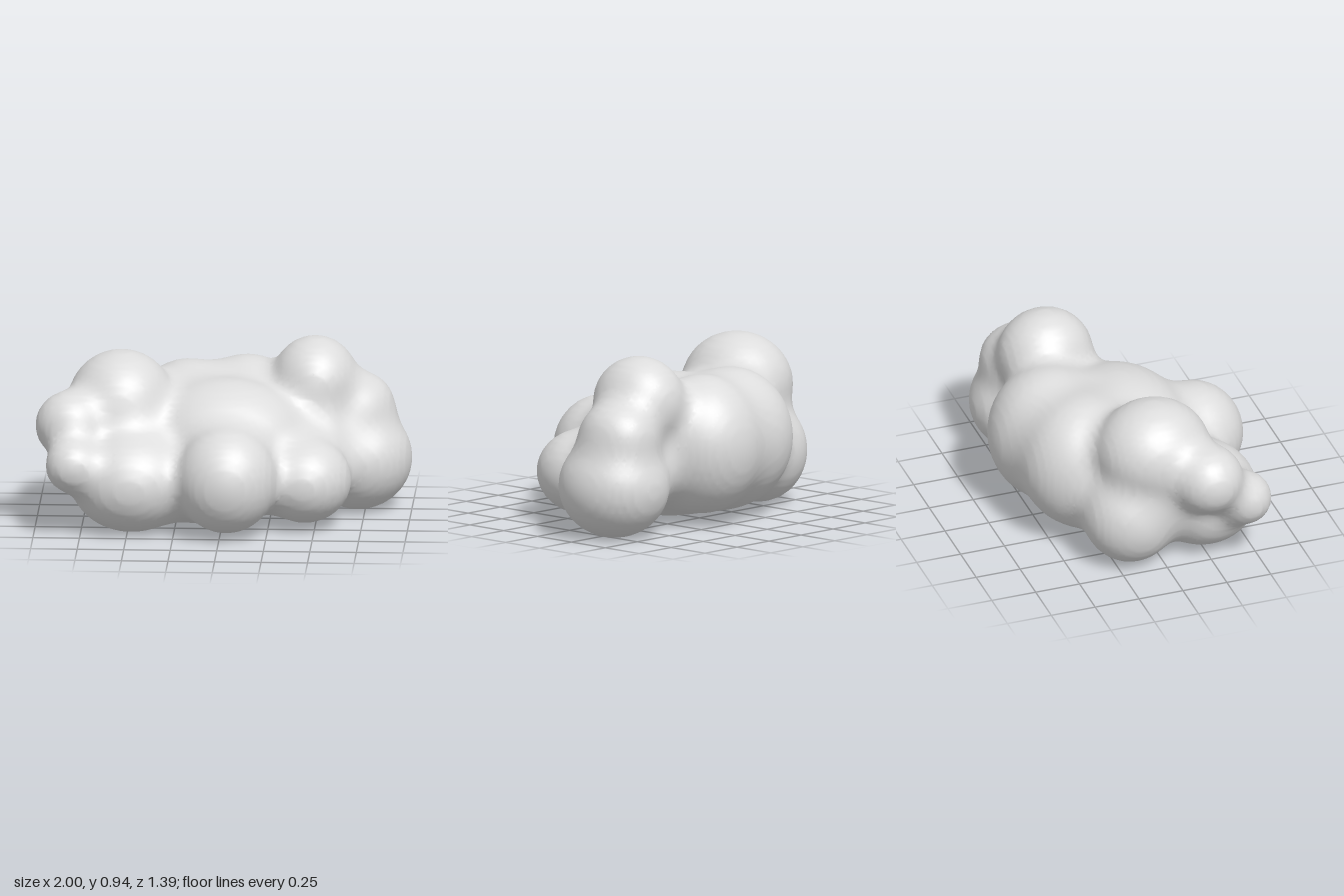
import * as THREE from 'three';

// Puffs of the cloud: centre x, y, z and radii x, y, z
const puffs = [
  [0, 0.41, -0.01, 0.48, 0.36, 0.4],          // core
  [-0.1, 0.22, 0, 0.5, 0.225, 0.42],          // flat base
  [0.43, 0.39, -0.18, 0.31, 0.29, 0.28],      // left shoulder
  [-0.5, 0.42, 0.08, 0.31, 0.25, 0.27],       // right shoulder
  [0.035, 0.315, 0.42, 0.272, 0.285, 0.275],  // front middle
  [0.445, 0.265, 0.18, 0.25, 0.23, 0.26],     // front left
  [-0.48, 0.275, 0.28, 0.33, 0.275, 0.31],    // front right
  [-0.79, 0.385, 0.425, 0.145, 0.145, 0.145], // small front right
  [-0.81, 0.56, 0.21, 0.19, 0.185, 0.19],     // right end
  [-0.55, 0.64, -0.01, 0.285, 0.28, 0.31],    // right crown
  [0.48, 0.7, -0.26, 0.235, 0.25, 0.26],      // left crown
  [0.71, 0.28, -0.29, 0.29, 0.28, 0.305],     // left end
  [0.71, 0.55, -0.32, 0.195, 0.19, 0.22],     // small left end
  [0.11, 0.44, -0.37, 0.33, 0.375, 0.33],     // back middle
  [-0.2, 0.43, -0.29, 0.33, 0.375, 0.34],     // back right
  [-0.57, 0.29, -0.15, 0.26, 0.28, 0.26],     // lower back right
];
const BLEND = 0.1;
const FLOOR = 0.005;

// Approximate signed distance to one ellipsoid
function puffDistance([cx, cy, cz, rx, ry, rz], x, y, z) {
  const a = (x - cx) / rx, b = (y - cy) / ry, c = (z - cz) / rz;
  const k0 = Math.hypot(a, b, c);
  const k1 = Math.hypot(a / rx, b / ry, c / rz);
  return k1 < 1e-6 ? -Math.min(rx, ry, rz) : (k0 * (k0 - 1)) / k1;
}

// Smooth union of the puffs, cut flat underneath
function field(x, y, z) {
  let d = 10;
  for (const p of puffs) {
    const e = puffDistance(p, x, y, z);
    const h = Math.max(BLEND - Math.abs(d - e), 0) / BLEND;
    d = Math.min(d, e) - (h * h * BLEND) / 4;
  }
  return Math.max(d, FLOOR - y);
}

// Skin the field with one vertex per crossed grid cell
function skin(min, size, step) {
  const n = size.map((s) => Math.ceil(s / step) + 1);
  const id = (i, j, k) => (k * n[1] + j) * n[0] + i;
  const at = (i, j, k) => [min[0] + i * step, min[1] + j * step, min[2] + k * step];
  const values = new Float32Array(n[0] * n[1] * n[2]);
  const eachCell = (visit) => {
    for (let k = 0; k < n[2] - 1; k++)
      for (let j = 0; j < n[1] - 1; j++)
        for (let i = 0; i < n[0] - 1; i++) visit([i, j, k]);
  };
  for (let k = 0; k < n[2]; k++)
    for (let j = 0; j < n[1]; j++)
      for (let i = 0; i < n[0]; i++) values[id(i, j, k)] = field(...at(i, j, k));

  const positions = [], indices = [], vertexOf = new Map();

  // Vertex: mean of the crossings on the cell's twelve edges
  eachCell((cell) => {
    const sum = [0, 0, 0];
    let count = 0;
    for (let axis = 0; axis < 3; axis++)
      for (let s = 0; s < 4; s++) {
        const p = [...cell];
        p[(axis + 1) % 3] += s & 1;
        p[(axis + 2) % 3] += s >> 1;
        const q = [...p];
        q[axis]++;
        const a = values[id(...p)], b = values[id(...q)];
        if (a < 0 === b < 0) continue;
        p[axis] += a / (a - b);
        at(...p).forEach((v, m) => (sum[m] += v));
        count++;
      }
    if (!count) return;
    vertexOf.set(id(...cell), positions.length / 3);
    positions.push(...sum.map((v) => v / count));
  });

  // Face: a quad around every crossed edge
  eachCell((cell) => {
    const inside = values[id(...cell)] < 0;
    for (let axis = 0; axis < 3; axis++) {
      const q = [...cell];
      q[axis]++;
      if (inside === values[id(...q)] < 0) continue;
      const ring = [[0, 0], [1, 0], [1, 1], [0, 1]].map(([u, v]) => {
        const c = [...cell];
        c[(axis + 1) % 3] -= u;
        c[(axis + 2) % 3] -= v;
        return vertexOf.get(id(...c));
      });
      if (!inside) ring.reverse();
      indices.push(ring[0], ring[1], ring[2], ring[0], ring[2], ring[3]);
    }
  });

  const geometry = new THREE.BufferGeometry();
  geometry.setAttribute('position', new THREE.Float32BufferAttribute(positions, 3));
  geometry.setIndex(indices);
  geometry.computeVertexNormals();
  return geometry;
}

export function createModel() {
  const cloudGrey = new THREE.MeshStandardMaterial({ color: 0xdcdcdc });
  cloudGrey.name = 'cloudGrey';

  const cloud = new THREE.Mesh(skin([-1.1, -0.075, -0.8], [2.2, 1.15, 1.6], 0.03), cloudGrey);
  cloud.name = 'cloudBody';

  const group = new THREE.Group();
  group.name = 'cloud';
  group.add(cloud);
  return group;
}
